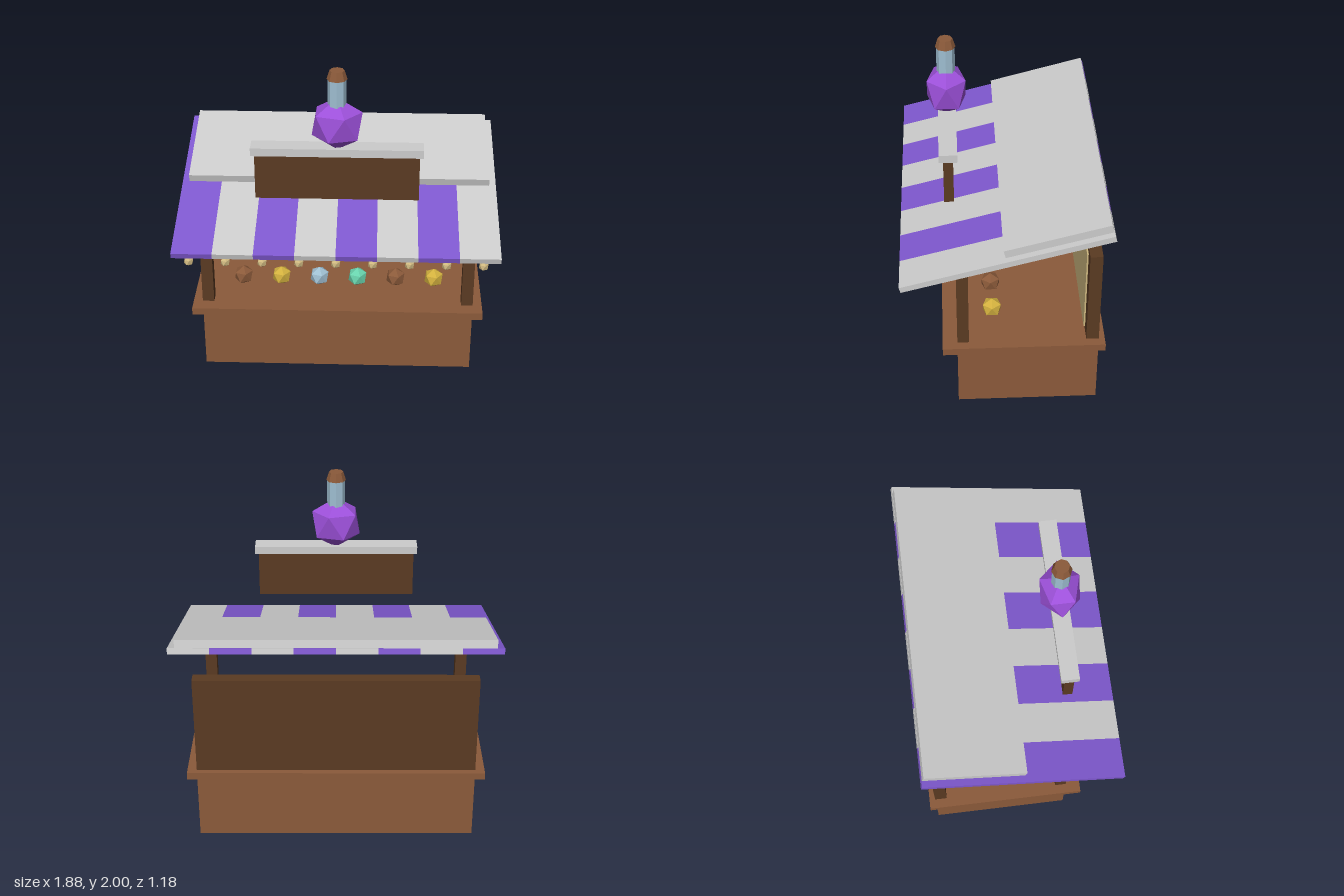
import * as THREE from 'three';

export function createModel() {
  const model = new THREE.Group();
  model.name = 'potionStall';

  const mat = (name, color) => {
    const m = new THREE.MeshStandardMaterial({ color, flatShading: true });
    m.name = name;
    return m;
  };
  const wood = mat('warm wood', 0x8b5a3a);
  const darkWood = mat('dark wood', 0x5a3a22);
  const grey = mat('pale grey', 0xcccccc);
  const purple = mat('awning purple', 0x7f58cf);
  const straw = mat('straw', 0xcdb77f);
  const violet = mat('potion violet', 0x9c50d9);
  const glass = mat('glass blue', 0x9fbfd2);
  const gold = mat('gold', 0xd2b03e);
  const teal = mat('teal', 0x68d2ac);

  const add = (name, geometry, material, parent = model) => {
    const mesh = new THREE.Mesh(geometry, material);
    mesh.name = name;
    parent.add(mesh);
    return mesh;
  };
  // Box given by its limits on each axis
  const box = (name, material, [x0, x1], [y0, y1], [z0, z1], parent) => {
    const g = new THREE.BoxGeometry(x1 - x0, y1 - y0, z1 - z0);
    g.translate((x0 + x1) / 2, (y0 + y1) / 2, (z0 + z1) / 2);
    return add(name, g, material, parent);
  };
  // Icosahedron standing on a corner
  const gem = (name, material, radius, x, y, z) => {
    const g = new THREE.IcosahedronGeometry(radius, 0);
    g.rotateZ(-Math.atan(2 / (1 + Math.sqrt(5))));
    const mesh = add(name, g, material);
    mesh.position.set(x, y, z);
    return mesh;
  };

  // Counter
  box('counterBase', wood, [-0.82, 0.82], [0, 0.412], [-0.54, 0.28]);
  box('counterTop', wood, [-0.875, 0.875], [0.412, 0.457], [-0.575, 0.365]);

  // Back wall with its light inner panel, and front posts
  box('backWall', darkWood, [-0.82, 0.82], [0.457, 1.06], [-0.54, -0.467]);
  box('backPanel', straw, [-0.74, 0.74], [0.483, 1.02], [-0.467, -0.458]);
  for (const side of [-1, 1]) {
    box(side > 0 ? 'leftPost' : 'rightPost', darkWood,
      [side * 0.785 - 0.035, side * 0.785 + 0.035], [0.457, 1.04], [0.213, 0.28]);
  }

  // Sloping striped awning with a plain slab on its rear half
  const roof = new THREE.Group();
  roof.name = 'roof';
  roof.position.set(0, 1.119, 0.001);
  roof.rotation.x = THREE.MathUtils.degToRad(15);
  model.add(roof);
  const stripe = 0.235;
  for (let i = 0; i < 8; i++) {
    const x = -0.94 + i * stripe;
    box('awningStripe', i % 2 ? grey : purple, [x, x + stripe],
      [-0.0175, 0.0175], [-0.608, 0.608], roof);
  }
  box('roofSlab', grey, [-0.9, 0.9], [0.0175, 0.065], [-0.606, 0], roof);

  // String of small lanterns under the front edge
  for (let i = -4; i <= 4; i++) gem('lantern', straw, 0.03, i * 0.211, 0.911, 0.555);

  // Goods on the counter
  [wood, gold, glass, teal, wood, gold].forEach((m, i) =>
    gem('counterGem', m, 0.062, (i - 2.5) * 0.235, 0.522, 0.072));

  // Sign board with its cap
  box('signBoard', darkWood, [-0.47, 0.47], [1.21, 1.49], [0.278, 0.334]);
  box('signCap', grey, [-0.49, 0.49], [1.49, 1.538], [0.254, 0.358]);

  // Potion bottle on the sign
  gem('bottleBody', violet, 0.16, 0, 1.677, 0.306).scale.z = 0.82;
  add('bottleNeck', new THREE.CylinderGeometry(0.053, 0.053, 0.21, 8), glass)
    .position.set(0, 1.843, 0.306);
  add('bottleCork', new THREE.CylinderGeometry(0.042, 0.058, 0.052, 8), wood)
    .position.set(0, 1.974, 0.306);

  return model;
}
